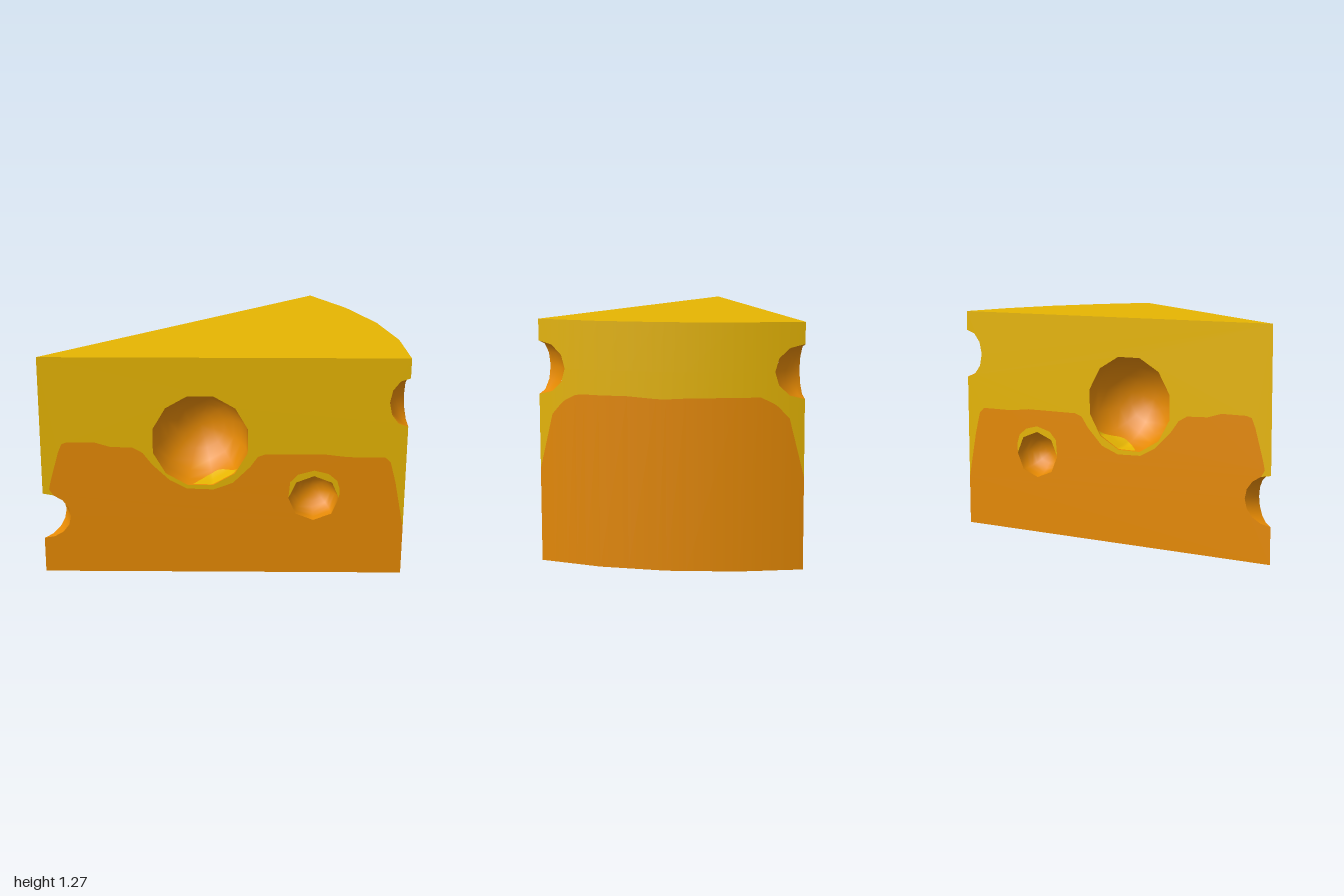
import * as THREE from 'three';
import { mergeVertices } from 'three/addons/utils/BufferGeometryUtils.js';

const H = 1.266;
const W = 0.682;
const TIP = [-1, 0.055];
// Plan of the rind end as [x, z], front corner to back corner
const RIND = [[0.9, W], [0.98, 0.35], [1, 0], [0.956, -0.353], [0.857, -W]];

// Colour border on a cut side, [x, y] from tip to rind
const SIDE_BORDER = [[-0.965, 0.5], [-0.955, 0.55], [-0.91, 0.72], [-0.89, 0.77], [-0.86, 0.78],
  [-0.72, 0.78], [-0.64, 0.755], [-0.52, 0.75], [-0.47, 0.72], [-0.42, 0.65], [-0.33, 0.56],
  [-0.24, 0.51], [-0.1, 0.505], [0, 0.545], [0.09, 0.64], [0.13, 0.7], [0.17, 0.715],
  [0.48, 0.715], [0.6, 0.7], [0.79, 0.7], [0.82, 0.67], [0.85, 0.55], [0.9, 0.28]];

// Colour border on the rind, [z, y]
const RIND_BORDER = [[W, 0.49], [0.6095, 0.78], [0.556, 0.84], [0.537, 0.855], [0.48, 0.885],
  [0.43, 0.89], [0.35, 0.89], [0.2, 0.89], [0.05, 0.88], [0, 0.88], [-0.1, 0.885], [-0.36, 0.89],
  [-0.47, 0.89], [-0.537, 0.855], [-0.556, 0.84], [-0.6095, 0.78], [-W, 0.48]];

// Half ellipse from bottom to top
const halfRound = (cx, cy, rx, ry, n) => Array.from({ length: n + 1 }, (_, i) => {
  const a = -Math.PI / 2 + (Math.PI * i) / n;
  return [cx + rx * Math.cos(a), cy + ry * Math.sin(a)];
});
const BITE_Y = 1.017, BITE_R = 0.138, BITE_Z = 0.145;
const NOTCH = halfRound(-1, 0.34, 0.145, 0.135, 8);
const BITE = halfRound(0.9, BITE_Y, -0.1, BITE_R, 6);

const ring = (cx, cy, rx, ry, n, turn) => Array.from({ length: n }, (_, i) => {
  const a = turn + (Math.PI * 2 * i) / n;
  return [cx + rx * Math.cos(a), cy + ry * Math.sin(a)];
});

const toPoints = (list) => list.map(([x, y]) => new THREE.Vector2(x, y));
function plate(outline, holes = []) {
  const shape = new THREE.Shape(toPoints(outline));
  holes.forEach((h) => shape.holes.push(new THREE.Path(toPoints(h))));
  return new THREE.ShapeGeometry(shape);
}

function reverse(geo) {
  const idx = geo.index.array;
  for (let i = 0; i < idx.length; i += 3) [idx[i], idx[i + 2]] = [idx[i + 2], idx[i]];
}

// Surface from fn(i, j) -> [x, y, z]
function grid(nu, nv, fn, flip = false) {
  const pos = [], idx = [];
  for (let j = 0; j <= nv; j++) for (let i = 0; i <= nu; i++) pos.push(...fn(i, j));
  for (let j = 0; j < nv; j++) for (let i = 0; i < nu; i++) {
    const a = j * (nu + 1) + i, b = a + 1, c = a + nu + 1, d = c + 1;
    idx.push(a, b, d, a, d, c);
  }
  let geo = new THREE.BufferGeometry();
  geo.setAttribute('position', new THREE.Float32BufferAttribute(pos, 3));
  geo.setIndex(idx);
  geo = mergeVertices(geo);
  if (flip) reverse(geo);
  geo.computeVertexNormals();
  return geo;
}

// Maps side coordinates (x, y, height off the face) onto the cut towards a rind corner
function sidePoint(corner, x, y, z = 0) {
  const dx = corner[0] - TIP[0], dz = corner[1] - TIP[1];
  const t = (x + 1) / 1.9, len = Math.hypot(dx, dz), s = Math.sign(dz);
  return [TIP[0] + t * dx - (s * dz / len) * z, y, TIP[1] + t * dz + (s * dx / len) * z];
}

function placeOnSide(geo, corner) {
  const p = geo.attributes.position;
  for (let i = 0; i < p.count; i++) p.setXYZ(i, ...sidePoint(corner, p.getX(i), p.getY(i), p.getZ(i)));
  if (corner[1] < 0) reverse(geo);
  geo.computeVertexNormals();
  return geo;
}

// Hemispherical hollow sunk into a side: column i, ring j of 6
function bowlPoint([cx, cy, rx, ry, n, turn], i, j) {
  const a = turn + (Math.PI * 2 * (i % n)) / n, f = (Math.PI / 2) * (j / 6);
  const c = j === 6 ? 0 : Math.cos(f);
  return new THREE.Vector3(cx + rx * c * Math.cos(a), cy + ry * c * Math.sin(a), -ry * Math.sin(f));
}
const bowl = (spec) => grid(spec[4], 6, (i, j) => bowlPoint(spec, i, j).toArray());

// Point lying on the flat facets of a hollow, for fractional column and ring
function facetPoint(spec, u, v) {
  const i = Math.floor(u), j = Math.floor(v);
  const low = bowlPoint(spec, i, j).lerp(bowlPoint(spec, i + 1, j), u - i);
  return low.lerp(bowlPoint(spec, i, j + 1).lerp(bowlPoint(spec, i + 1, j + 1), u - i), v - j);
}

function rindX(z) {
  for (let i = 0; i < RIND.length - 1; i++) {
    const [x0, z0] = RIND[i], [x1, z1] = RIND[i + 1];
    if (z >= z1) return x0 + ((x1 - x0) * (z - z0)) / (z1 - z0);
  }
  return RIND[4][0];
}

export function createModel() {
  const model = new THREE.Group();
  model.name = 'cheeseWedge';
  const yellow = new THREE.MeshStandardMaterial({ name: 'yellow', color: 0xe6b502 });
  const orange = new THREE.MeshStandardMaterial({ name: 'orange', color: 0xe58903 });
  const darkOrange = new THREE.MeshStandardMaterial({ name: 'darkOrange', color: 0xe46802 });
  const add = (name, geo, mat, parent = model) => {
    const mesh = new THREE.Mesh(geo, mat);
    mesh.name = name;
    parent.add(mesh);
  };

  // Top and bottom
  const plan = [TIP, ...RIND].map(([x, z]) => [x, -z]);
  add('top', plate(plan).rotateX(-Math.PI / 2).translate(0, H, 0), yellow);
  const bottom = plate(plan).rotateX(-Math.PI / 2);
  reverse(bottom);
  bottom.computeVertexNormals();
  add('bottom', bottom, darkOrange);

  // Rind: bands between column heights, with gaps at the corner bites
  const biteHalf = (z) => BITE_R * Math.sqrt(Math.max(0, 1 - ((W - Math.abs(z)) / BITE_Z) ** 2));
  const band = (low, high) => {
    const geo = grid(RIND_BORDER.length - 1, 1, (i, j) => {
      const [z, y] = RIND_BORDER[i];
      return [rindX(z), (j ? high : low)(z, y), z];
    });
    const p = geo.attributes.position, n = geo.attributes.normal, v = new THREE.Vector3();
    for (let i = 0; i < p.count; i++) {
      v.set(1, 0, 0.5 * p.getZ(i)).normalize();
      n.setXYZ(i, v.x, v.y, v.z);
    }
    return geo;
  };
  add('rindLower', band(() => 0, (z, y) => y), orange);
  add('rindMiddle', band((z, y) => y, (z) => BITE_Y - biteHalf(z)), yellow);
  add('rindUpper', band((z) => BITE_Y + biteHalf(z), () => H), yellow);

  // Cut sides with their hollows
  const big = [-0.17, 0.79, 0.255, 0.268, 12, Math.PI / 12];
  const small = [0.425, 0.455, 0.133, 0.132, 8, 0];
  const smallRing = ring(...small);
  const halo = [[0.56, 0.51], [0.545, 0.56], [0.5, 0.6], [0.425, 0.62], [0.34, 0.595], [0.3, 0.55]];
  const border = [...NOTCH.slice(0, 8), ...SIDE_BORDER];

  for (const [name, corner] of [['frontSide', RIND[0]], ['backSide', RIND[4]]]) {
    const side = new THREE.Group();
    side.name = name;
    model.add(side);
    const put = (part, geo, mat) => add(part, placeOnSide(geo, corner), mat, side);
    put('upperSide', plate([NOTCH[8], NOTCH[7], ...SIDE_BORDER, ...BITE, [0.9, H], [-1, H]], [ring(...big)]), yellow);
    put('lowerSide', plate([[-1, 0], ...border, [0.9, 0]],
      [[smallRing[0], ...halo, ...smallRing.slice(4)]]), orange);
    put('smallHollowHalo', plate([smallRing[0], ...halo, ...smallRing.slice(1, 5).reverse()]), yellow);
    put('bigHollow', bowl(big), orange);
    put('smallHollow', bowl(small), orange);
    // Yellow sliver on the lower lip of the big hollow
    const bigCentre = new THREE.Vector3(big[0], big[1], 0);
    put('bigHollowLip', grid(24, 4, (i, j) => {
      const p = facetPoint(big, 8.2 + i / 12, 0.4 * j * Math.sin((Math.PI * i) / 24));
      return p.sub(bigCentre).multiplyScalar(0.982).add(bigCentre).toArray();
    }), yellow);

    // Shallow rounded bite out of the rind corner
    const s = Math.sign(corner[1]);
    const centre = new THREE.Vector3(corner[0] + 0.035, BITE_Y, s * W);
    add('cornerBite', grid(6, 6, (i, j) => {
      const face = new THREE.Vector3(...sidePoint(corner, ...BITE[i]));
      const z = s * (W - BITE_Z * (0.9 - BITE[i][0]) / 0.1);
      const p = new THREE.Vector3(rindX(z), BITE[i][1], z).lerp(face, j / 6);
      if (j > 0 && j < 6 && i > 0 && i < 6) {
        p.lerp(p.clone().sub(centre).setLength(BITE_R).add(centre), 0.5);
      }
      return p.toArray();
    }, s < 0), orange, side);
  }

  // Notch through the tip
  add('tipNotch', grid(8, 1, (i, j) => sidePoint(j ? RIND[4] : RIND[0], ...NOTCH[i])), orange);
  return model;
}
